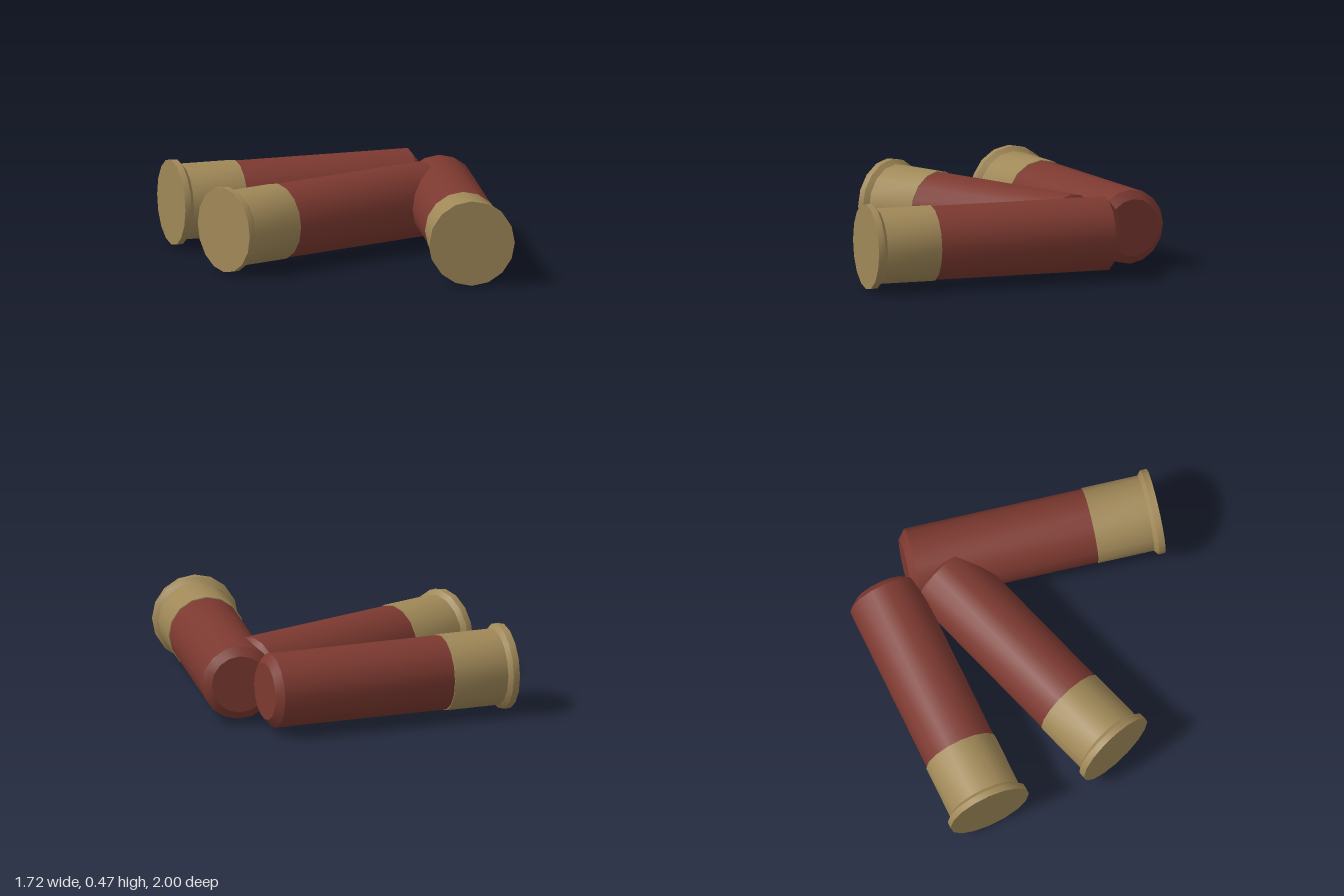
import * as THREE from 'three';
import { toCreasedNormals } from 'three/addons/utils/BufferGeometryUtils.js';

const SIDES = 16;
const RIM_RADIUS = 0.233;

// Turned part lying along +x, smooth around and sharp at profile corners
function turned(name, profile, material) {
  const points = profile.map(([r, h]) => new THREE.Vector2(r, h));
  const geometry = new THREE.LatheGeometry(points, SIDES).rotateZ(-Math.PI / 2);
  const mesh = new THREE.Mesh(toCreasedNormals(geometry, 0.5), material);
  mesh.name = name;
  return mesh;
}

export function createModel() {
  const brass = new THREE.MeshStandardMaterial({ color: 0xa08858 });
  brass.name = 'brass';
  const red = new THREE.MeshStandardMaterial({ color: 0x7c3930 });
  red.name = 'red casing';

  // Base rim with bevel, then the brass head
  const headProfile = [
    [0, 0], [RIM_RADIUS, 0], [RIM_RADIUS, 0.036], [0.208, 0.058],
    [0.208, 0.366], [0.198, 0.366],
  ];
  // Red tube with a bevelled closed end
  const tubeProfile = [
    [0.203, 0.36], [0.203, 1.352], [0.157, 1.39], [0, 1.39],
  ];

  // Base centre x, z and heading in degrees
  const placements = [
    ['backShell', -0.75, -0.77, -8],
    ['middleShell', -0.822, -0.007, 10],
    ['frontShell', 0.21, 0.918, 70.5],
  ];

  const model = new THREE.Group();
  model.name = 'shells';
  for (const [name, x, z, degrees] of placements) {
    const shell = new THREE.Group();
    shell.name = name;
    shell.add(turned('brassHead', headProfile, brass));
    shell.add(turned('casingTube', tubeProfile, red));
    shell.position.set(x, RIM_RADIUS, z);
    shell.rotation.y = THREE.MathUtils.degToRad(degrees);
    model.add(shell);
  }
  return model;
}
